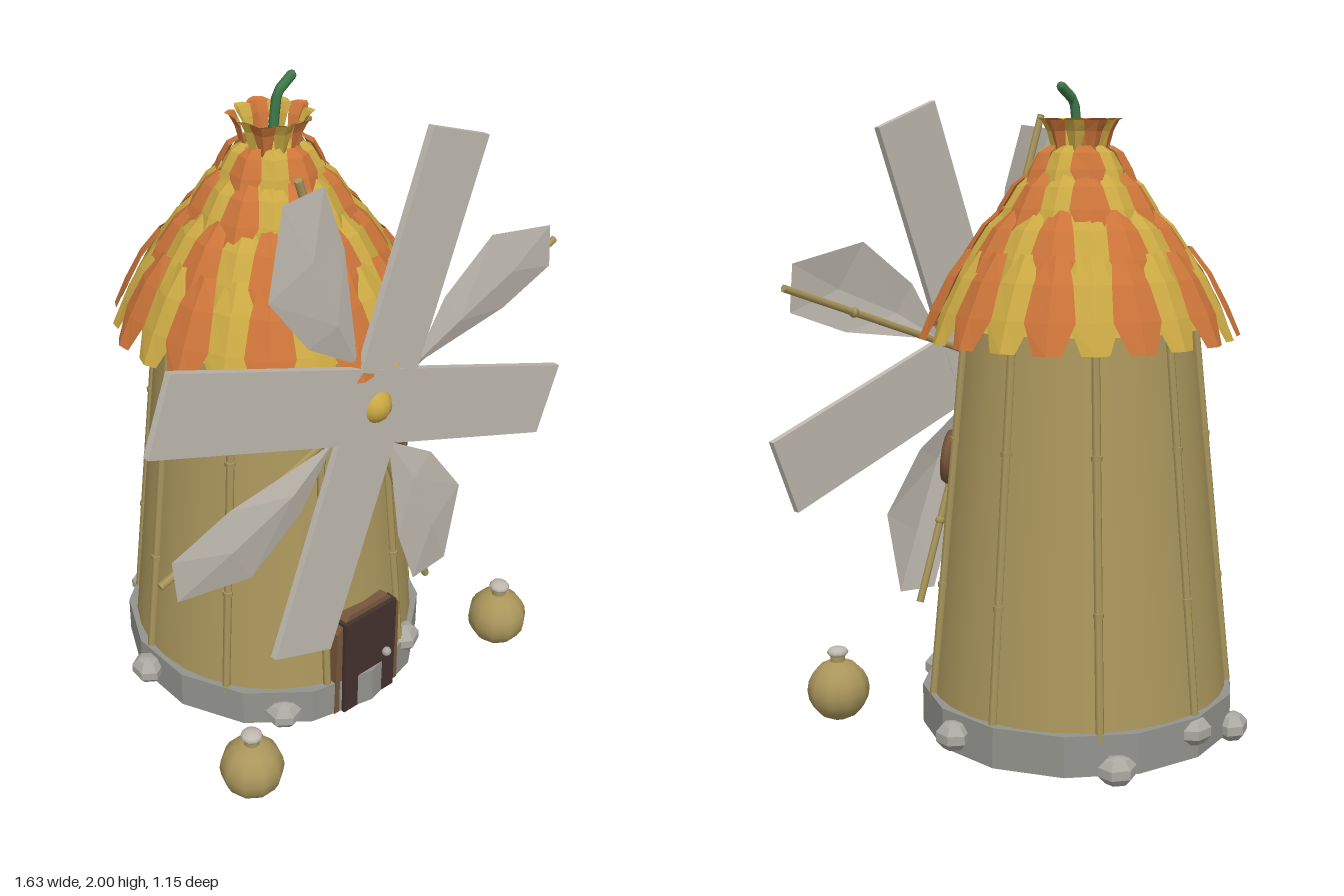
import * as THREE from 'three';
import { mergeGeometries } from 'three/addons/utils/BufferGeometryUtils.js';

const mat = (name, color, double = false) => {
  const m = new THREE.MeshStandardMaterial({ color });
  m.name = name;
  if (double) m.side = THREE.DoubleSide;
  return m;
};

export function createModel() {
  const model = new THREE.Group();
  model.name = 'windmill';
  const tan = mat('tan', 0xaa965c);
  const yellow = mat('yellow', 0xcaa843, true);
  const orange = mat('orange', 0xcb7439, true);
  const sail = mat('sail', 0xbfb9af, true);
  const stone = mat('stone', 0x93948e);
  const pebble = mat('pebble', 0xa9a8a1);
  const doorBrown = mat('darkBrown', 0x44322e);
  const trim = mat('trimBrown', 0x76573c);
  const green = mat('green', 0x3f7a4a);
  const AXIS = -0.06; // z of the tower axis

  const add = (name, geo, material, x = 0, y = 0, z = 0, parent = model) => {
    const m = new THREE.Mesh(geo, material);
    m.name = name;
    m.position.set(x, y, z);
    parent.add(m);
    return m;
  };
  const faceted = (geo) => {
    const g = geo.index ? geo.toNonIndexed() : geo;
    g.computeVertexNormals();
    return g;
  };
  // Straight pole between two points
  const pole = (name, a, b, r, material, parent = model) => {
    const dir = b.clone().sub(a);
    const m = add(name, new THREE.CylinderGeometry(r, r, dir.length(), 6), material, 0, 0, 0, parent);
    m.position.copy(a).add(b).multiplyScalar(0.5);
    m.quaternion.setFromUnitVectors(new THREE.Vector3(0, 1, 0), dir.normalize());
    return m;
  };
  // Point around the tower; angle 0 is +x, 90 degrees is the front
  const around = (angle, r, y) =>
    new THREE.Vector3(r * Math.cos(angle), y, AXIS + r * Math.sin(angle));
  const towerRadius = (y) => 0.464 - (y - 0.155) * 0.101;

  // Tower and stone footing
  add('tower', new THREE.CylinderGeometry(towerRadius(1.4), towerRadius(0.05), 1.35, 32), tan, 0, 0.725, AXIS);
  add('footing', faceted(new THREE.CylinderGeometry(0.492, 0.492, 0.125, 14)), stone, 0, 0.0925, AXIS);

  // Jointed poles up the tower wall
  for (let i = 0; i < 9; i++) {
    const a = THREE.MathUtils.degToRad(-11 + i * 40);
    pole('wallPole', around(a, towerRadius(0.13) + 0.004, 0.13), around(a, towerRadius(1.36) + 0.004, 1.36), 0.013, tan);
    for (const y of [0.5, 0.95]) {
      add('poleJoint', new THREE.CylinderGeometry(0.017, 0.017, 0.015, 6), tan)
        .position.copy(around(a, towerRadius(y) + 0.004, y));
    }
  }

  // Rounded stones set into the footing
  [[-0.29, 0.075, 0.33], [0.206, 0.14, 0.365], [0.5, 0.095, -0.02], [0.28, 0.055, -0.48],
    [0, 0.11, -0.535], [-0.21, 0.055, -0.515], [-0.505, 0.1, -0.1]].forEach(([x, y, z]) => {
    const m = add('footingStone', faceted(new THREE.SphereGeometry(0.06, 6, 5)), pebble, x, y, z);
    m.scale.set(1, 0.75, 0.85);
    m.rotation.y = Math.atan2(x, z - AXIS);
  });

  // Scale-shaped roof tile: four cross-sections with a raised centre ridge
  const tile = (angle, half, r0, y0, r1, y1, lift) => {
    const pos = [];
    const idx = [];
    [[0, 0.62], [0.4, 0.95], [0.75, 1.08], [1, 0.55]].forEach(([t, w], row) => {
      const r = THREE.MathUtils.lerp(r0, r1, t) + lift;
      const y = THREE.MathUtils.lerp(y0, y1, t) + 0.03 * Math.sin(t * Math.PI);
      [-1, 0, 1].forEach((s) => {
        const p = around(angle + s * w * half, r + (s ? 0 : 0.012), y);
        pos.push(p.x, p.y, p.z);
      });
      if (row < 3) {
        for (let c = 0; c < 2; c++) {
          const k = row * 3 + c;
          idx.push(k, k + 1, k + 3, k + 1, k + 4, k + 3);
        }
      }
    });
    const g = new THREE.BufferGeometry();
    g.setAttribute('position', new THREE.Float32BufferAttribute(pos, 3));
    g.setIndex(idx);
    return faceted(g);
  };

  // Roof rows: count, top radius/height, bottom radius/height, turn
  const rows = [
    [22, 0.325, 1.52, 0.475, 1.255, 0],
    [18, 0.215, 1.64, 0.37, 1.43, 0.5],
    [14, 0.14, 1.74, 0.255, 1.58, 0],
    [10, 0.085, 1.82, 0.165, 1.7, 0.5],
    [10, 0.07, 1.79, 0.118, 1.9, 0], // flared crown
  ];
  rows.forEach(([n, r0, y0, r1, y1, turn], row) => {
    const sets = [[], []];
    for (let i = 0; i < n; i++) {
      const a = ((i + turn) / n) * Math.PI * 2;
      sets[i % 2].push(tile(a, (Math.PI / n) * 1.08, r0, y0, r1, y1, i % 2 ? -0.004 : 0.004));
    }
    const label = row === 4 ? 'crownPetals' : 'roofTiles';
    add(label + 'Orange', mergeGeometries(sets[0]), orange);
    add(label + 'Yellow', mergeGeometries(sets[1]), yellow);
  });
  const core = [[0.43, 1.3], [0.31, 1.51], [0.2, 1.63], [0.12, 1.73], [0.075, 1.8], [0, 1.82]]
    .map(([r, y]) => new THREE.Vector2(r, y));
  add('roofCore', new THREE.LatheGeometry(core, 22), yellow, 0, 0, AXIS);

  // Bent stem on top
  const stem = new THREE.CurvePath();
  const s = [[0, 1.8], [0.02, 1.95], [0.075, 1.99]].map(([x, y]) => new THREE.Vector3(x, y, AXIS));
  stem.add(new THREE.LineCurve3(s[0], s[1]));
  stem.add(new THREE.LineCurve3(s[1], s[2]));
  add('stem', new THREE.TubeGeometry(stem, 8, 0.015, 6), green);
  add('stemTip', new THREE.SphereGeometry(0.015, 6, 4), green, 0.075, 1.99, AXIS);

  // Sails
  const sails = new THREE.Group();
  sails.name = 'sails';
  sails.position.set(0, 1.14, 0.404);
  model.add(sails);
  const slant = THREE.MathUtils.degToRad(20);
  [-slant, Math.PI / 2 - slant].forEach((a, i) => {
    add('sailBoard', new THREE.BoxGeometry(1.643, 0.238, 0.022), sail, 0, 0, -0.001 * i, sails).rotation.z = a;
  });
  // Leaf-shaped sails, folded along a shallow ridge, each on a pole
  const rim = [[0.172, 0.01], [0.345, 0.145], [0.57, 0.213], [0.8, 0.078], [0.765, -0.06], [0.55, -0.063]];
  const ridge = [[0.36, 0.045], [0.6, 0.055]];
  const leaf = new THREE.BufferGeometry();
  leaf.setAttribute('position', new THREE.Float32BufferAttribute(
    [...rim.map(([u, v]) => [u, v, -0.012]), ...ridge.map(([u, v]) => [u, v, 0.008])].flat(), 3));
  leaf.setIndex([0, 6, 1, 1, 6, 2, 6, 7, 2, 2, 7, 3, 3, 7, 4, 4, 7, 5, 5, 7, 6, 5, 6, 0].reverse());
  const leafGeo = faceted(leaf);
  for (let i = 0; i < 4; i++) {
    const arm = new THREE.Group();
    arm.name = 'leafSail';
    arm.rotation.z = slant + (i * Math.PI) / 2;
    sails.add(arm);
    add('leaf', leafGeo, sail, 0, 0, 0, arm);
    pole('leafPole', new THREE.Vector3(0, 0, -0.028), new THREE.Vector3(0.82, 0, -0.028), 0.012, tan, arm);
    add('leafPoleJoint', new THREE.SphereGeometry(0.017, 6, 4), tan, 0.55, 0, -0.028, arm);
  }
  // Hub and axle
  add('hub', new THREE.SphereGeometry(0.056, 14, 10), yellow, 0, 1.14, 0.39);
  pole('axle', new THREE.Vector3(0, 1.14, 0.25), new THREE.Vector3(0, 1.14, 0.39), 0.03, yellow);
  add('axleCollar', new THREE.CylinderGeometry(0.042, 0.042, 0.02, 10), yellow, 0, 1.14, 0.315).rotation.x = Math.PI / 2;

  // Door with a chamfered frame
  const frame = new THREE.Shape([[-0.137, 0.03], [0.137, 0.03], [0.132, 0.35], [0.08, 0.405], [-0.08, 0.405], [-0.132, 0.35]]
    .map(([x, y]) => new THREE.Vector2(x, y)));
  add('doorFrame', new THREE.ExtrudeGeometry(frame, { depth: 0.07, bevelEnabled: false }), trim, 0, 0, 0.335);
  add('door', new THREE.BoxGeometry(0.216, 0.355, 0.04), doorBrown, -0.002, 0.2075, 0.4);
  add('doorKnob', new THREE.SphereGeometry(0.016, 8, 6), pebble, 0.063, 0.195, 0.428);

  // Round window on the front left wall
  const port = new THREE.Group();
  port.name = 'roundWindow';
  const portAngle = THREE.MathUtils.degToRad(55);
  port.position.copy(around(portAngle, towerRadius(0.857), 0.857));
  port.rotation.set(-0.1, Math.PI / 2 - portAngle, 0, 'YXZ');
  model.add(port);
  add('windowRim', new THREE.TorusGeometry(0.07, 0.02, 6, 12), trim, 0, 0, 0.01, port);
  add('windowPane', new THREE.CylinderGeometry(0.068, 0.068, 0.04, 12), trim, 0, 0, 0, port).rotation.x = Math.PI / 2;

  // Round flasks beside the door
  for (const side of [-1, 1]) {
    add('flask', new THREE.SphereGeometry(0.098, 10, 10), tan, side * 0.54, 0.12, 0.476);
    add('flaskNeck', new THREE.CylinderGeometry(0.024, 0.024, 0.04, 10), tan, side * 0.54, 0.22, 0.476);
    add('flaskCap', new THREE.SphereGeometry(0.034, 10, 6), sail, side * 0.54, 0.243, 0.476).scale.y = 0.5;
  }
  return model;
}
